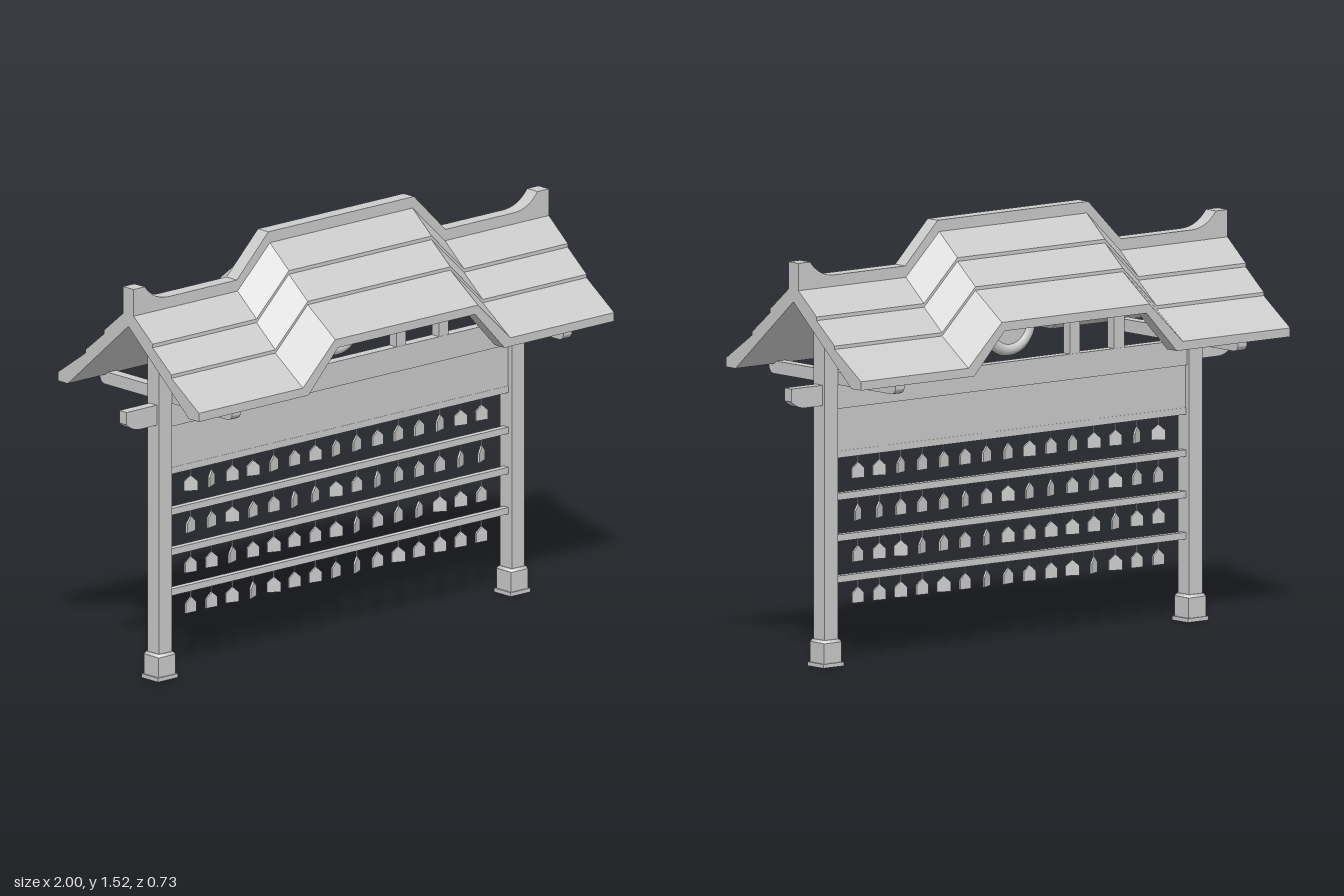
import * as THREE from 'three';

const wood = new THREE.MeshStandardMaterial({ color: 0xcccccc });
wood.name = 'pale grey';

export function createModel() {
  const model = new THREE.Group();
  model.name = 'plaqueRack';

  function add(name, geometry, x = 0, y = 0, z = 0, parent = model) {
    const mesh = new THREE.Mesh(geometry, wood);
    mesh.name = name;
    mesh.position.set(x, y, z);
    parent.add(mesh);
    return mesh;
  }
  // box given by its bottom and top heights
  const box = (name, x, y0, y1, w, d, z = 0) =>
    add(name, new THREE.BoxGeometry(w, y1 - y0, d), x, (y0 + y1) / 2, z);
  const polygon = (pts) => new THREE.Shape(pts.map(([x, y]) => new THREE.Vector2(x, y)));
  const slab = (shape, depth) =>
    new THREE.ExtrudeGeometry(shape, { depth, bevelEnabled: false, curveSegments: 10 }).translate(0, 0, -depth / 2);

  // Posts with stepped feet
  for (const s of [-1, 1]) {
    const x = s * 0.828;
    box('post', x, 0.05, 1.3, 0.06, 0.06);
    box('postFoot', x, 0.012, 0.085, 0.08, 0.076);
    const collar = new THREE.CylinderGeometry(0.047, 0.0552, 0.01, 4).rotateY(Math.PI / 4);
    add('footCollar', collar, x, 0.09, 0);
    box('plinth', x, 0, 0.014, 0.094, 0.086);
  }

  // Main beam with rounded lower ends
  const beam = new THREE.Shape();
  beam.moveTo(-1, 0.99);
  beam.lineTo(-1, 0.945);
  beam.quadraticCurveTo(-0.975, 0.92, -0.94, 0.918);
  beam.lineTo(0.94, 0.918);
  beam.quadraticCurveTo(0.975, 0.92, 1, 0.945);
  beam.lineTo(1, 0.99);
  add('mainBeam', slab(beam, 0.038));
  box('beamLowerPart', 0, 0.9, 0.95, 1.6, 0.036);
  box('backPanel', 0, 0.745, 0.905, 1.6, 0.022);

  // Cross arms carrying the eaves
  const arm = new THREE.Shape();
  arm.moveTo(-0.34, 1.032);
  arm.lineTo(-0.34, 1.005);
  arm.quadraticCurveTo(-0.335, 0.99, -0.32, 0.987);
  arm.lineTo(0.32, 0.987);
  arm.quadraticCurveTo(0.335, 0.99, 0.34, 1.005);
  arm.lineTo(0.34, 1.032);
  for (const s of [-1, 1]) add('crossArm', slab(arm, 0.04), s * 0.778).rotation.y = Math.PI / 2;

  // Short struts between beam and roof
  for (const s of [-1, 1]) {
    box('innerStrut', s * 0.29, 0.985, 1.45, 0.046, 0.036);
    box('outerStrut', s * 0.49, 0.985, 1.3, 0.046, 0.036);
  }

  // Roof: stepped gable section swept along x and lifted in the middle
  const half = [[0.125, 1.253], [0.125, 1.24], [0.222, 1.162], [0.222, 1.15],
    [0.364, 1.053], [0.364, 1.022], [0.312, 1.022]];
  const section = [[0, 1.356], ...half, [0, 1.292], ...half.map(([z, y]) => [-z, y]).reverse()];
  const stations = [-0.975, -0.487, -0.335, 0.335, 0.487, 0.975];
  const lowStations = [-0.975, -0.46, -0.322, 0.322, 0.46, 0.975];
  const roof = new THREE.ExtrudeGeometry(polygon(section), { depth: 5, steps: 5, bevelEnabled: false });
  const p = roof.attributes.position;
  for (let i = 0; i < p.count; i++) {
    const z = p.getX(i), y = p.getY(i), k = Math.round(p.getZ(i));
    const under = y < 1.03 || (Math.abs(z) < 0.01 && y < 1.3);
    p.setXYZ(i, (under ? lowStations : stations)[k], y + (k === 2 || k === 3 ? 0.146 : 0), -z);
  }
  roof.computeVertexNormals();
  add('roof', roof);

  // Ridge cap with upturned ends
  const ridge = new THREE.Shape();
  ridge.moveTo(-0.975, 1.3);
  ridge.lineTo(-0.975, 1.43);
  ridge.lineTo(-0.922, 1.43);
  ridge.quadraticCurveTo(-0.88, 1.375, -0.81, 1.374);
  for (const [x, y] of [[-0.49, 1.374], [-0.342, 1.52], [0.342, 1.52], [0.49, 1.374], [0.81, 1.374]]) ridge.lineTo(x, y);
  ridge.quadraticCurveTo(0.88, 1.375, 0.922, 1.43);
  for (const [x, y] of [[0.975, 1.43], [0.975, 1.3], [0.47, 1.3], [0.322, 1.446], [-0.322, 1.446], [-0.47, 1.3]]) ridge.lineTo(x, y);
  add('ridgeCap', slab(ridge, 0.054));

  // Hanging round ornament with its cords
  const ornament = new THREE.Group();
  ornament.name = 'hangingOrnament';
  ornament.position.y = 1.128;
  model.add(ornament);
  add('ornamentRing', new THREE.TorusGeometry(0.098, 0.022, 12, 40), 0, 0, 0, ornament);
  add('ornamentDisc', new THREE.CylinderGeometry(0.083, 0.083, 0.02, 40).rotateX(Math.PI / 2), 0, 0, 0, ornament);
  for (const s of [-1, 1]) {
    const cord = new THREE.LineCurve3(new THREE.Vector3(0, 0.11, 0), new THREE.Vector3(s * 0.1, 0.32, 0));
    add('ornamentCord', new THREE.TubeGeometry(cord, 1, 0.006, 6), 0, 0, 0, ornament);
  }

  // Rails with rows of small hanging plaques, each turned a little
  let seed = 7;
  const random = () => (seed = (seed * 16807) % 2147483647) / 2147483647;
  const plaque = slab(polygon([[-0.025, -0.092], [0.025, -0.092], [0.025, -0.058], [0, -0.036], [-0.025, -0.058]]), 0.007);
  const cord = new THREE.BoxGeometry(0.003, 0.05, 0.003);
  for (const y of [0.738, 0.59, 0.445, 0.3]) {
    box('rail', 0, y - 0.012, y + 0.012, 1.6, 0.024);
    for (let i = 0; i < 15; i++) {
      const x = (i - 7) * 0.0975;
      add('plaque', plaque, x, y, 0).rotation.y = (random() - 0.5) * 1.1;
      add('plaqueCord', cord, x, y - 0.02, 0);
    }
  }
  return model;
}
